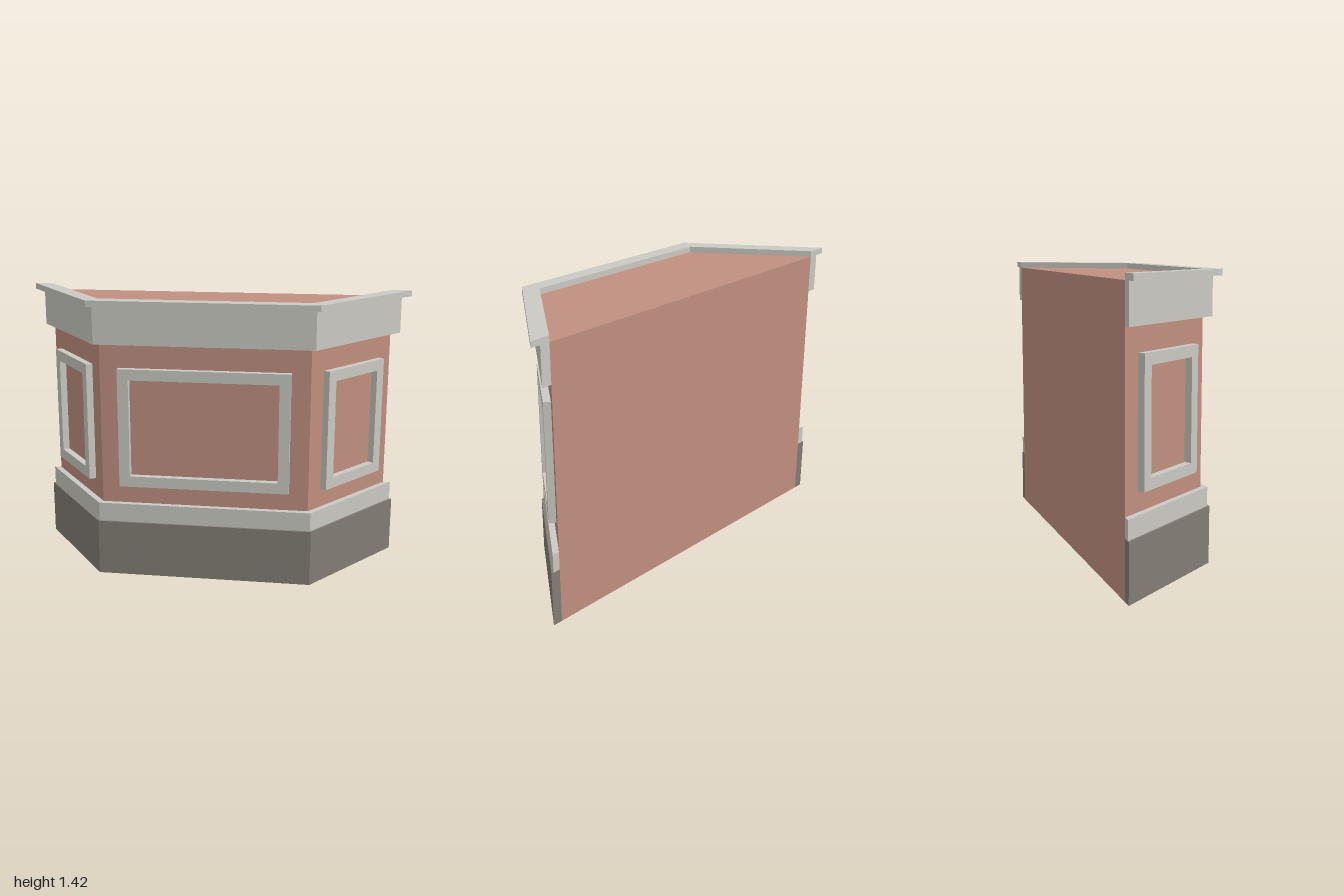
import * as THREE from 'three';

const brick = new THREE.MeshStandardMaterial({ color: 0xc08f80 });
brick.name = 'brick';
const stone = new THREE.MeshStandardMaterial({ color: 0xcac9c2 });
stone.name = 'pale stone';
const slate = new THREE.MeshStandardMaterial({ color: 0x827d75 });
slate.name = 'dark stone';

// Plan of the bay: wide flat back, narrower front, slanted sides
const FRONT_X = 0.522, BACK_X = 0.902, FRONT_Z = 0.22, BACK_Z = -0.3;
const slant = Math.atan2(FRONT_Z - BACK_Z, BACK_X - FRONT_X);
const sideAngle = Math.PI / 2 - (Math.PI / 2 - slant); // turn of a side wall from the front

// Front and side outline, pushed outwards by d, from back left to back right
function outline(d) {
  const f = FRONT_X + d * Math.tan(sideAngle / 2);
  const b = BACK_X + d / Math.sin(sideAngle);
  return [[b, BACK_Z], [f, FRONT_Z + d], [-f, FRONT_Z + d], [-b, BACK_Z]];
}

// Extrude a plan of [x, z] points upwards from y0 to y1
function slab(name, points, y0, y1, material) {
  const shape = new THREE.Shape(points.map(([x, z]) => new THREE.Vector2(x, -z)));
  const geometry = new THREE.ExtrudeGeometry(shape, { depth: y1 - y0, bevelEnabled: false });
  geometry.rotateX(-Math.PI / 2).translate(0, y0, 0);
  const mesh = new THREE.Mesh(geometry, material);
  mesh.name = name;
  return mesh;
}

// Moulding wrapped round the front and sides, open at the back
function band(name, d, y0, y1, material) {
  return slab(name, [...outline(d), ...outline(0).reverse()], y0, y1, material);
}

// Rectangular raised frame with an open middle
function frame(name, width, x, z, turn) {
  const w = width / 2, h = 0.3025, border = 0.055;
  const rect = (Type, a, b) => new Type([[-a, -b], [a, -b], [a, b], [-a, b]].map(p => new THREE.Vector2(...p)));
  const shape = rect(THREE.Shape, w, h);
  shape.holes.push(rect(THREE.Path, w - border, h - border));
  const mesh = new THREE.Mesh(new THREE.ExtrudeGeometry(shape, { depth: 0.035, bevelEnabled: false }), stone);
  mesh.name = name;
  mesh.position.set(x, 0.7775, z);
  mesh.rotation.y = turn;
  return mesh;
}

export function createModel() {
  const model = new THREE.Group();
  model.name = 'bayCounter';

  // Core and stacked mouldings
  model.add(slab('body', outline(0), 0, 1.39, brick));
  model.add(band('plinth', 0.04, 0, 0.285, slate));
  model.add(band('lowerMoulding', 0.03, 0.285, 0.38, stone));
  model.add(band('upperMoulding', 0.04, 1.2, 1.39, stone));
  model.add(band('topLedge', 0.08, 1.39, 1.42, stone));

  // Panel frames on the front and both slanted sides
  model.add(frame('frontFrame', 0.855, 0, FRONT_Z, 0));
  const midX = (FRONT_X + BACK_X) / 2, midZ = (FRONT_Z + BACK_Z) / 2;
  for (const [name, s] of [['leftFrame', 1], ['rightFrame', -1]]) {
    model.add(frame(name, 0.45, s * midX, midZ, s * sideAngle));
  }
  return model;
}
